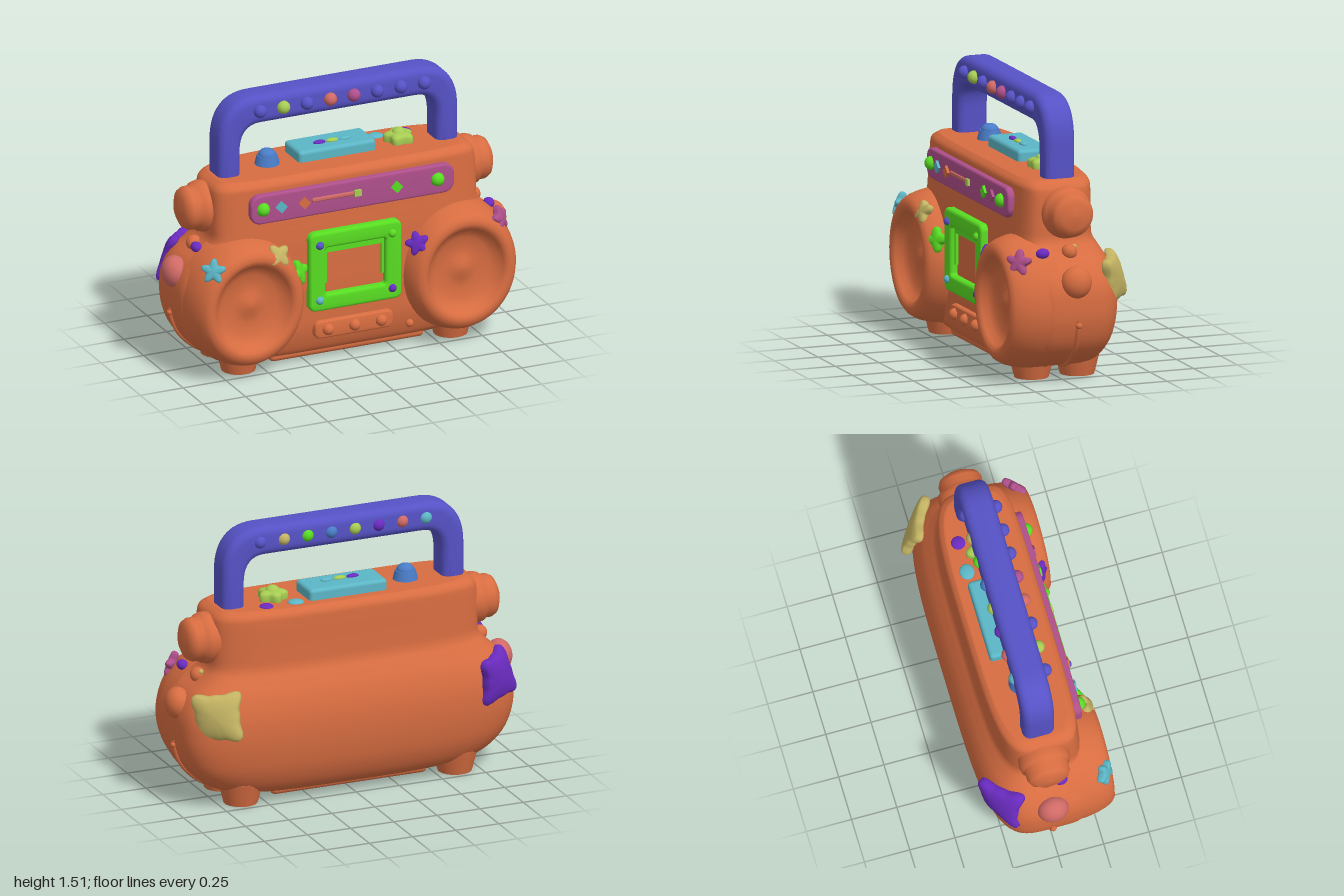
import * as THREE from 'three';
import { toCreasedNormals, mergeVertices } from 'three/addons/utils/BufferGeometryUtils.js';
import { RoundedBoxGeometry } from 'three/addons/geometries/RoundedBoxGeometry.js';

const colours = {
  orange: 0xd86d41, indigo: 0x5652c6, purple: 0x6a2bc0, pink: 0xae4f8b, salmon: 0xd06a66,
  green: 0x58dd22, lime: 0xa6cc52, khaki: 0xc4b463, cyan: 0x5cb6c6, blue: 0x4a7cc8,
};
const M = {};
for (const [name, hex] of Object.entries(colours)) {
  M[name] = new THREE.MeshStandardMaterial({ color: hex });
  M[name].name = name;
}

export function createModel() {
  const model = new THREE.Group();
  model.name = 'portableStereo';

  // Adds a mesh; its local +z is turned towards the given normal.
  function add(name, geo, colour, pos = [0, 0, 0], normal = [0, 0, 1]) {
    const mesh = new THREE.Mesh(geo, M[colour]);
    mesh.name = name;
    mesh.position.set(...pos);
    mesh.lookAt(pos[0] + normal[0], pos[1] + normal[1], pos[2] + normal[2]);
    model.add(mesh);
    return mesh;
  }
  const ball = (rx, ry = rx, rz = rx) => new THREE.SphereGeometry(1, 24, 16).scale(rx, ry, rz);

  // Puffy star or cushion: a flattened sphere with a wavy outline.
  function puff(points, r, wave, thick, sharp = 1, bend = 0) {
    let g = new THREE.SphereGeometry(1, 60, 20).rotateX(Math.PI / 2);
    const p = g.attributes.position;
    for (let i = 0; i < p.count; i++) {
      const x = p.getX(i), y = p.getY(i), z = p.getZ(i);
      const c = 0.5 + 0.5 * Math.cos(points * (Math.atan2(y, x) - Math.PI / 2));
      const k = r * (1 - wave + wave * c ** sharp);
      p.setXYZ(i, x * k, y * k, Math.sign(z) * Math.sqrt(Math.abs(z)) * thick - bend * (x * k) ** 2);
    }
    g.deleteAttribute('uv');
    g.deleteAttribute('normal');
    g = mergeVertices(g, 1e-5);
    g.computeVertexNormals();
    return g;
  }

  function roundRect(w, h, r, Kind = THREE.Shape) {
    const s = new Kind(), a = w / 2 - r, b = h / 2 - r;
    s.absarc(a, b, r, 0, Math.PI / 2);
    s.absarc(-a, b, r, Math.PI / 2, Math.PI);
    s.absarc(-a, -b, r, Math.PI, Math.PI * 1.5);
    s.absarc(a, -b, r, Math.PI * 1.5, Math.PI * 2);
    return s;
  }
  function slab(shape, depth, bevel) {
    const g = new THREE.ExtrudeGeometry(shape, {
      depth: depth - 2 * bevel, bevelThickness: bevel, bevelSize: bevel, bevelOffset: -bevel,
      bevelSegments: 5, curveSegments: 14,
    });
    return toCreasedNormals(g.translate(0, 0, bevel - depth / 2), 0.6);
  }

  // Body: superellipse sections stacked upwards [y, half width, front, back].
  const sections = [
    [0.03, 0.5, 0.12, 0.12], [0.05, 0.62, 0.17, 0.2], [0.1, 0.79, 0.2, 0.265], [0.2, 0.9, 0.225, 0.315],
    [0.32, 0.95, 0.23, 0.34], [0.44, 0.96, 0.235, 0.347], [0.54, 0.945, 0.235, 0.337], [0.63, 0.895, 0.235, 0.31],
    [0.7, 0.82, 0.235, 0.275], [0.76, 0.775, 0.232, 0.245], [0.85, 0.77, 0.225, 0.24], [1, 0.765, 0.215, 0.24],
    [1.05, 0.75, 0.21, 0.235], [1.08, 0.71, 0.18, 0.21],
  ];
  const front = new THREE.CatmullRomCurve3(sections.map(s => new THREE.Vector3(s[1], s[0], s[2])), false, 'catmullrom');
  const back = new THREE.CatmullRomCurve3(sections.map(s => new THREE.Vector3(s[1], s[0], s[3])), false, 'catmullrom');
  const rows = [[0, 0], [0, 0.95]], steps = 64, around = 128;
  for (let i = 0; i <= steps; i++) rows.push([i / steps, 1]);
  rows.push([1, 0.96], [1, 0]);
  const pos = [], index = [];
  rows.forEach(([t, k], i) => {
    const f = front.getPoint(t), b = back.getPoint(t);
    for (let j = 0; j < around; j++) {
      const a = (j / around) * Math.PI * 2, c = Math.cos(a), s = Math.sin(a), n = s > 0 ? 6 : 4;
      const r = k / (Math.abs(c) ** n + Math.abs(s) ** n) ** (1 / n);
      pos.push(f.x * r * c, f.y, (s > 0 ? f.z : b.z) * r * s);
      if (i < rows.length - 1) {
        const p = i * around + j, q = i * around + (j + 1) % around;
        index.push(p, p + around, q, p + around, q + around, q);
      }
    }
  });
  const bodyGeo = new THREE.BufferGeometry();
  bodyGeo.setAttribute('position', new THREE.Float32BufferAttribute(pos, 3));
  bodyGeo.setIndex(index);
  bodyGeo.computeVertexNormals();
  add('body', bodyGeo, 'orange');
  add('basePlate', new RoundedBoxGeometry(0.9, 0.07, 0.34, 3, 0.025), 'orange', [0, 0.052, 0]);

  // Speakers, feet and side knobs, mirrored.
  const speakerProfile = [[0, 0.285], [0.03, 0.283], [0.06, 0.268], [0.1, 0.264], [0.16, 0.272], [0.2, 0.295], [0.218, 0.328],
    [0.232, 0.342], [0.25, 0.347], [0.272, 0.342], [0.29, 0.325], [0.308, 0.29], [0.322, 0.24], [0.332, 0.18], [0.335, 0.08]]
    .map(p => new THREE.Vector2(...p)).reverse();
  const knobProfile = [[0.135, -0.03], [0.14, 0.02], [0.132, 0.05], [0.118, 0.06], [0.118, 0.1], [0.105, 0.125], [0.07, 0.143], [0, 0.15]]
    .map(p => new THREE.Vector2(...p));
  for (const s of [-1, 1]) {
    const speaker = new THREE.LatheGeometry(speakerProfile, 64).rotateX(Math.PI / 2).scale(1, 1.1, 1);
    add('speaker', speaker, 'orange', [s * 0.62, 0.42, 0]);
    for (const z of [0.125, -0.135]) {
      add('foot', new THREE.CylinderGeometry(0.125, 0.092, 0.13, 28), 'orange', [s * 0.62, 0.065, z]);
    }
    add('sideKnob', new THREE.LatheGeometry(knobProfile, 40).rotateX(Math.PI / 2), 'orange', [s * 0.76, 0.91, -0.015], [s, 0, 0]);
    add('sideButton', ball(0.085, 0.088, 0.07), s > 0 ? 'orange' : 'salmon', [s * 0.93, 0.56, -0.01], [s, 0, 0]);
    add('smallSideButton', ball(0.042), 'orange', [s * 0.815, 0.705, -0.015]);
    add('sidePurpleDot', ball(0.037, 0.028, 0.03), 'purple', [s * 0.835, 0.71, s > 0 ? 0.145 : 0.06], [s, 0.4, 0]);
    // Seam running down each side.
    const seam = new THREE.CatmullRomCurve3([[0.953, 0.36], [0.945, 0.3], [0.9, 0.2], [0.79, 0.1], [0.7, 0.07]]
      .map(([x, y]) => new THREE.Vector3(s * x, y, -0.015)));
    add('sideSeam', new THREE.TubeGeometry(seam, 24, 0.014, 8), 'orange');
    add('seamPin', ball(0.018), 'orange', [s * 0.955, 0.33, -0.015]);
  }
  add('sidePin', ball(0.014), 'khaki', [0.81, 0.73, -0.045]);

  // Handle.
  const arch = new THREE.Shape();
  arch.moveTo(0.7, 1.04);
  arch.lineTo(0.7, 1.26);
  arch.bezierCurveTo(0.7, 1.42, 0.62, 1.512, 0.48, 1.512);
  arch.lineTo(-0.48, 1.512);
  arch.bezierCurveTo(-0.62, 1.512, -0.7, 1.42, -0.7, 1.26);
  arch.lineTo(-0.7, 1.04);
  arch.lineTo(-0.572, 1.04);
  arch.lineTo(-0.572, 1.2);
  arch.bezierCurveTo(-0.572, 1.3, -0.54, 1.352, -0.45, 1.352);
  arch.lineTo(0.45, 1.352);
  arch.bezierCurveTo(0.54, 1.352, 0.572, 1.3, 0.572, 1.2);
  arch.lineTo(0.572, 1.04);
  add('handle', slab(arch, 0.175, 0.045), 'indigo', [0, 0, -0.015]);
  const frontDots = ['indigo', 'lime', 'indigo', 'salmon', 'pink', 'indigo', 'indigo', 'indigo'];
  const backDots = ['cyan', 'salmon', 'purple', 'lime', 'blue', 'green', 'khaki', 'indigo'];
  for (let i = 0; i < 8; i++) {
    const x = -0.47 + i * 0.137;
    add('handleFrontDot', ball(0.036), frontDots[i], [x, 1.432, 0.077]);
    add('handleBackDot', ball(0.036), backDots[i], [x, 1.432, -0.088]);
  }

  // Controls on the top.
  add('topPanel', new RoundedBoxGeometry(0.45, 0.09, 0.2, 3, 0.02), 'cyan', [0, 1.095, -0.055]);
  ['purple', 'lime', 'cyan'].forEach((c, i) => {
    add('topKey', ball(0.035, 0.012, 0.018), c, [-0.07 + i * 0.075, 1.143, -0.04]);
  });
  add('topKnobBase', new THREE.CylinderGeometry(0.055, 0.07, 0.06, 24), 'blue', [-0.38, 1.1, -0.03]);
  add('topKnobCap', ball(0.048, 0.035, 0.048), 'blue', [-0.38, 1.13, -0.03]);
  add('topStarKnob', puff(5, 0.085, 0.25, 0.04), 'lime', [0.39, 1.095, -0.03], [0, 1, 0.01]);
  add('topStarKnobCap', ball(0.04, 0.035, 0.04), 'lime', [0.39, 1.12, -0.03]);
  add('topCyanButton', ball(0.045, 0.015, 0.04), 'cyan', [0.3, 1.08, -0.135]);
  add('topPurpleButton', ball(0.038, 0.015, 0.038), 'purple', [0.47, 1.08, -0.135]);

  // Tuner strip.
  add('tunerStrip', slab(roundRect(1.19, 0.165, 0.06), 0.06, 0.012), 'pink', [-0.005, 0.937, 0.216]);
  for (const x of [-0.53, 0.49]) add('tunerKnob', ball(0.038), 'green', [x, 0.94, 0.243]);
  for (const [x, c] of [[-0.425, 'cyan'], [-0.29, 'orange'], [0.25, 'green'], [0.365, 'pink']]) {
    add('tunerDiamond', new THREE.BoxGeometry(0.048, 0.048, 0.03).rotateZ(Math.PI / 4), c, [x, 0.94, 0.245]);
  }
  add('tunerSlot', new RoundedBoxGeometry(0.25, 0.024, 0.02, 2, 0.008), 'salmon', [-0.12, 0.945, 0.244]);
  add('tunerSlider', new THREE.BoxGeometry(0.04, 0.035, 0.03), 'lime', [0.02, 0.945, 0.245]);

  // Cassette window.
  const frame = roundRect(0.54, 0.45, 0.04);
  frame.holes.push(roundRect(0.35, 0.265, 0.015, THREE.Path));
  add('cassetteFrame', slab(frame, 0.09, 0.018), 'green', [0, 0.535, 0.232]);
  for (const x of [-0.185, 0.185]) add('cassetteInnerSide', new THREE.BoxGeometry(0.05, 0.22, 0.03), 'green', [x, 0.57, 0.235]);
  add('cassetteInnerTop', new THREE.BoxGeometry(0.36, 0.045, 0.03), 'green', [0, 0.655, 0.235]);
  for (const [x, y, c] of [[-0.212, 0.69, 'indigo'], [0.212, 0.69, 'green'], [-0.212, 0.375, 'cyan'], [0.212, 0.375, 'purple']]) {
    add('cassetteScrew', ball(0.023), c, [x, y, 0.274]);
  }

  // Lower buttons.
  add('buttonPanel', slab(roundRect(0.46, 0.1, 0.035), 0.07, 0.015), 'orange', [0, 0.193, 0.222]);
  for (const x of [-0.155, 0, 0.155]) add('pushButton', ball(0.032), 'orange', [x, 0.195, 0.258]);
  add('jack', ball(0.022), 'orange', [0.34, 0.13, 0.215]);

  // Star charms on the front.
  add('cyanStar', puff(5, 0.07, 0.42, 0.026), 'cyan', [-0.845, 0.66, 0.3], [-0.55, 0.3, 0.8]);
  add('khakiStar', puff(4, 0.07, 0.4, 0.026).rotateZ(0.6), 'khaki', [-0.47, 0.69, 0.31], [0.1, 0.4, 0.9]);
  add('greenStar', puff(4, 0.07, 0.42, 0.026).rotateZ(0.2), 'green', [-0.34, 0.565, 0.285], [0.5, 0.2, 0.85]);
  add('purpleStar', puff(5, 0.068, 0.38, 0.026).rotateZ(0.3), 'purple', [0.355, 0.61, 0.285], [-0.5, 0.2, 0.85]);
  add('pinkStar', puff(5, 0.075, 0.42, 0.026), 'pink', [0.835, 0.67, 0.28], [0.65, 0.25, 0.7]);

  // Cushion patches on the back corners.
  for (const [s, c] of [[1, 'khaki'], [-1, 'purple']]) {
    add('cornerPatch', puff(4, 0.175, 0.3, 0.04, 2.5, 1.6).rotateZ(Math.PI / 4 + 0.12), c, [s * 0.815, 0.545, -0.272], [s * 0.58, 0.1, -0.8]);
  }
  return model;
}
